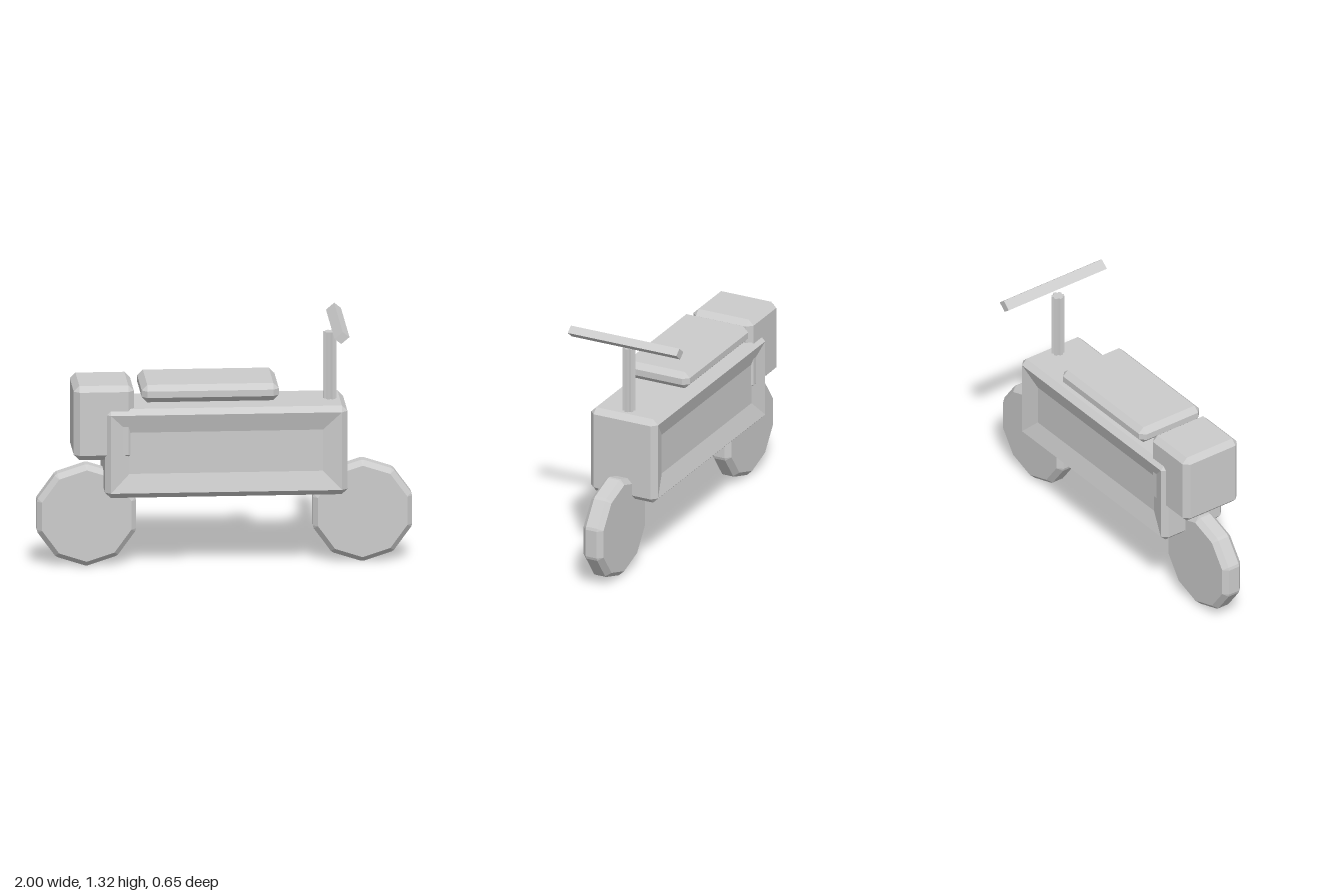
import * as THREE from 'three';

const grey = new THREE.MeshStandardMaterial({ color: 0xcccccc });
grey.name = 'plain grey';

// Flat-faced prism along z, centred on the origin. core is the end face outline
// (counter-clockwise); its sides are pushed out by the bevel. A recess sinks a
// smaller panel into both end faces.
function prism(core, half, bevel, recess) {
  const n = core.length;
  const normal = i => {
    const a = core[i % n], b = core[(i + 1) % n];
    const l = Math.hypot(b[0] - a[0], b[1] - a[1]);
    return [(b[1] - a[1]) / l, (a[0] - b[0]) / l];
  };
  // every corner appears twice so that it can open into a bevel facet
  const ring = (z, push, inset) => core.flatMap(([x, y], i) =>
    [normal(i + n - 1), normal(i)].map(m => new THREE.Vector3(
      x + push * m[0] - inset * Math.sign(x), y + push * m[1] - inset * Math.sign(y), z)));
  const rings = [
    ring(-half, 0, 0), ring(bevel - half, bevel, 0),
    ring(half - bevel, bevel, 0), ring(half, 0, 0),
  ];
  if (recess) {
    rings.unshift(ring(recess.depth - half, 0, recess.inset));
    rings.push(ring(half - recess.depth, 0, recess.inset));
  }

  const points = [];
  const tri = (a, b, c) => {
    const area = new THREE.Vector3().crossVectors(b.clone().sub(a), c.clone().sub(a)).length();
    if (area > 1e-9) points.push(a, b, c);
  };
  const first = rings[0], last = rings[rings.length - 1];
  const c0 = new THREE.Vector3(0, 0, first[0].z), c1 = new THREE.Vector3(0, 0, last[0].z);
  for (let i = 0; i < 2 * n; i++) {
    const j = (i + 1) % (2 * n);
    for (let r = 0; r + 1 < rings.length; r++) {
      const p = rings[r], q = rings[r + 1];
      tri(p[i], p[j], q[j]);
      tri(p[i], q[j], q[i]);
    }
    tri(c0, first[j], first[i]);
    tri(c1, last[i], last[j]);
  }
  const geometry = new THREE.BufferGeometry().setFromPoints(points);
  geometry.computeVertexNormals();
  return geometry;
}

const polar = (r, degrees) => {
  const a = THREE.MathUtils.degToRad(degrees);
  return [r * Math.cos(a), r * Math.sin(a)];
};

// Box with chamfered edges, given by its full size
function bevelBox(w, h, d, bevel, recess) {
  const x = w / 2 - bevel, y = h / 2 - bevel;
  return prism([[x, y], [-x, y], [-x, -y], [x, -y]], d / 2, bevel, recess);
}

export function createModel() {
  const model = new THREE.Group();
  model.name = 'scooter';
  const add = (name, geometry, x, y) => {
    const mesh = new THREE.Mesh(geometry, grey);
    mesh.name = name;
    mesh.position.set(x, y, 0);
    model.add(mesh);
  };

  // Body with a sunken panel on both sides
  add('body', bevelBox(1.29, 0.485, 0.4, 0.03, { depth: 0.03, inset: 0.1 }), 0, 0.6425);

  // Seat and luggage box
  add('seat', bevelBox(0.73, 0.095, 0.4, 0.03), -0.085, 0.9675);
  add('luggageBox', bevelBox(0.32, 0.405, 0.36, 0.03), -0.65, 0.8075);

  // Ten-sided wheels
  const disc = Array.from({ length: 10 }, (_, i) => polar(0.25, 90 + i * 36));
  const wheel = prism(disc, 0.06, 0.027);
  add('frontWheel', wheel, 0.734, 0.276);
  add('rearWheel', wheel, -0.734, 0.276);

  // Fluted steering post with six ribs
  const flutes = [];
  for (let a = 0; a < 360; a += 60) {
    flutes.push(polar(0.035, a - 13), polar(0.035, a + 13), polar(0.026, a + 30));
  }
  add('steeringPost', prism(flutes, 0.1875, 0).rotateX(-Math.PI / 2), 0.565, 1.0625);

  // Tilted square handlebar
  const bar = [[0.04, 0.004], [0.004, 0.033], [-0.04, -0.004], [-0.004, -0.033]];
  add('handlebar', prism(bar, 0.325, 0), 0.605, 1.292);

  return model;
}
